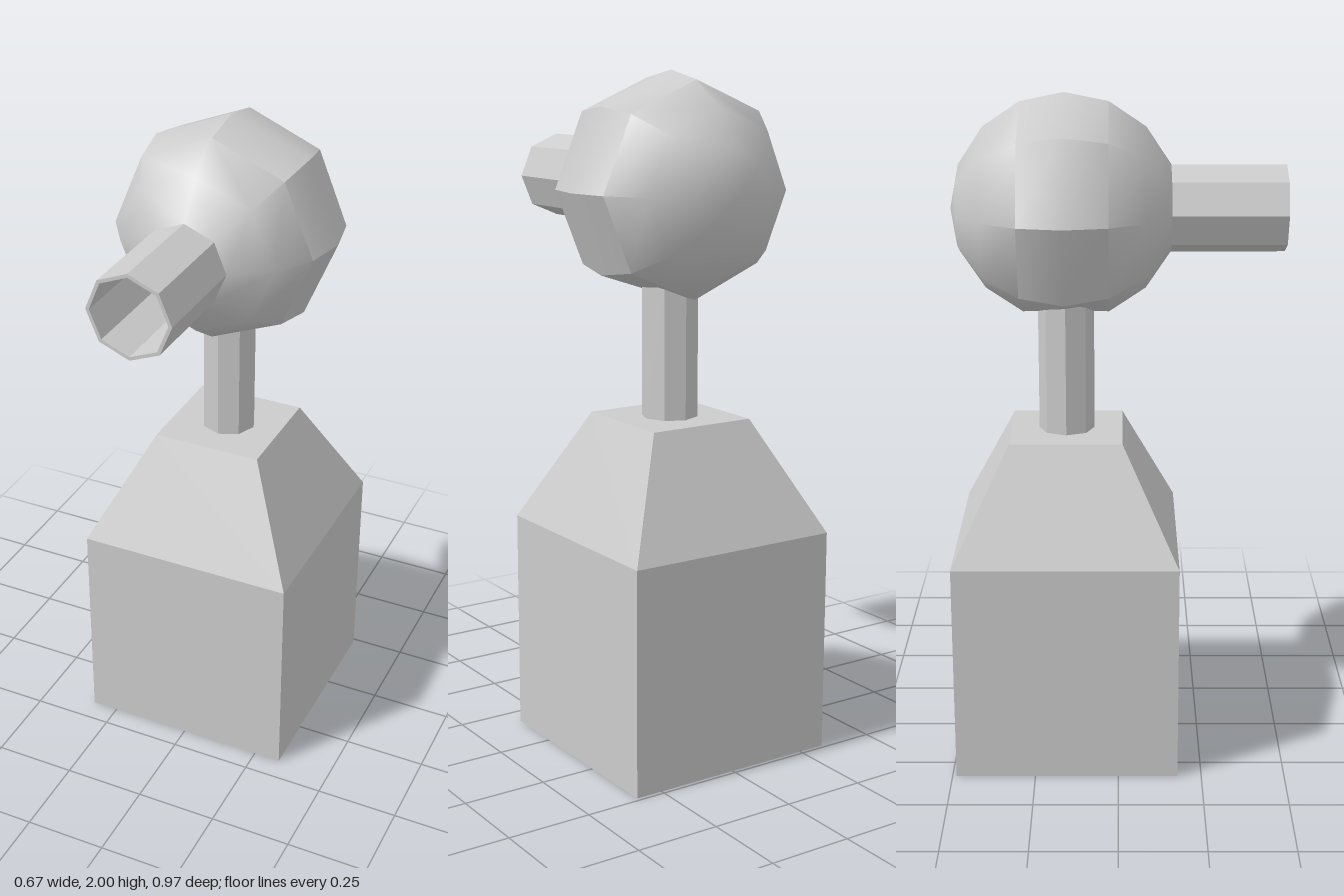
import * as THREE from 'three';
import { toCreasedNormals } from 'three/addons/utils/BufferGeometryUtils.js';

const AXIS_Z = -0.155; // the vertical axis shared by base, post and head
const R = 0.333;       // head radius
const HEAD_Y = 1.667;

function lathe(points, sides) {
  return new THREE.LatheGeometry(points.map(([r, y]) => new THREE.Vector2(r, y)), sides);
}

export function createModel() {
  const model = new THREE.Group();
  const smooth = new THREE.MeshStandardMaterial({ color: 0xcccccc });
  const flat = new THREE.MeshStandardMaterial({ color: 0xcccccc, flatShading: true });

  function add(name, geometry, material, y) {
    const mesh = new THREE.Mesh(geometry, material);
    mesh.name = name;
    mesh.position.set(0, y, AXIS_Z);
    model.add(mesh);
  }

  // Square block with a tapered top
  const k = Math.SQRT2;
  const base = lathe([[0, 0], [R * k, 0], [R * k, 0.667], [0.167 * k, 1], [0, 1]], 4);
  base.rotateY(Math.PI / 4);
  add('base', base, flat, 0);

  // Octagonal post
  add('post', new THREE.CylinderGeometry(0.083, 0.083, 0.4, 8, 1, true), flat, 1.19);

  // Eight-sided ball turned along z, running into a hollow barrel at the front
  const profile = [];
  for (let i = 0; i <= 7; i++) {
    const a = (i * Math.PI) / 8;
    profile.push([i === 0 ? 0 : R * Math.sin(a), -R * Math.cos(a)]);
  }
  profile.push([0.127, 0.641], [0.116, 0.641], [0.116, 0.315], [0, 0.315]);
  const head = lathe(profile, 8);
  head.rotateX(Math.PI / 2);

  // Flatten the lowest corner where the post meets the ball
  const p = head.attributes.position;
  for (let i = 0; i < p.count; i++) {
    if (p.getY(i) < -0.32) p.setY(i, -0.305);
  }
  add('headAndBarrel', toCreasedNormals(head, THREE.MathUtils.degToRad(40)), smooth, HEAD_Y);

  return model;
}
